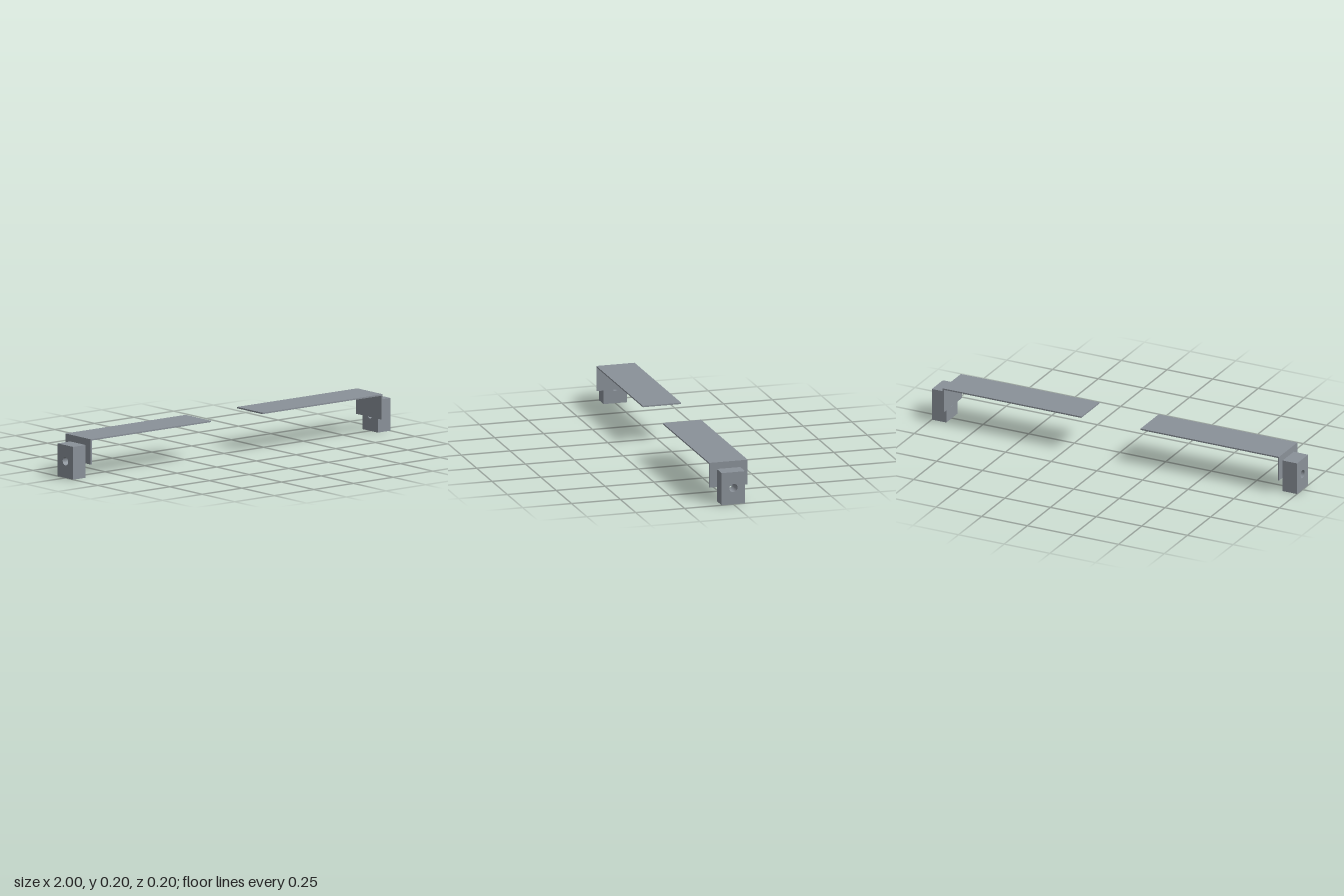
import * as THREE from 'three';

export function createModel() {
  const model = new THREE.Group();
  const steel = new THREE.MeshStandardMaterial({ color: 0x8a9199 });
  steel.name = 'greySteel';

  // Bent strip: long flat arm with a short flange turned down at its outer end
  const inner = 0.162, outer = 0.921, top = 0.197, foot = 0.071, t = 0.007, width = 0.196;
  const profile = new THREE.Shape([
    [inner, top - t], [outer - t, top - t], [outer - t, foot],
    [outer, foot], [outer, top], [inner, top],
  ].map(([x, y]) => new THREE.Vector2(x, y)));
  const stripGeometry = new THREE.ExtrudeGeometry(profile, { depth: width, bevelEnabled: false });
  stripGeometry.translate(0, 0, -width / 2);

  // Mounting block with a round hole through it along x
  const half = 0.06, height = 0.163;
  const face = new THREE.Shape([
    [-half, 0], [half, 0], [half, height], [-half, height],
  ].map(([x, y]) => new THREE.Vector2(x, y)));
  const hole = new THREE.Path();
  hole.absarc(0, 0.083, 0.021, 0, Math.PI * 2, true);
  face.holes.push(hole);
  const blockGeometry = new THREE.ExtrudeGeometry(face, {
    depth: 1 - outer, bevelEnabled: false, curveSegments: 24,
  });
  blockGeometry.rotateY(Math.PI / 2);
  blockGeometry.translate(outer, 0, 0);

  // The same bracket at both ends, the right one turned half round
  for (const [name, turn] of [['leftBracket', 0], ['rightBracket', Math.PI]]) {
    const bracket = new THREE.Group();
    bracket.name = name;
    const strip = new THREE.Mesh(stripGeometry, steel);
    strip.name = 'bentStrip';
    const block = new THREE.Mesh(blockGeometry, steel);
    block.name = 'mountingBlock';
    bracket.add(strip, block);
    bracket.rotation.y = turn;
    model.add(bracket);
  }
  return model;
}
